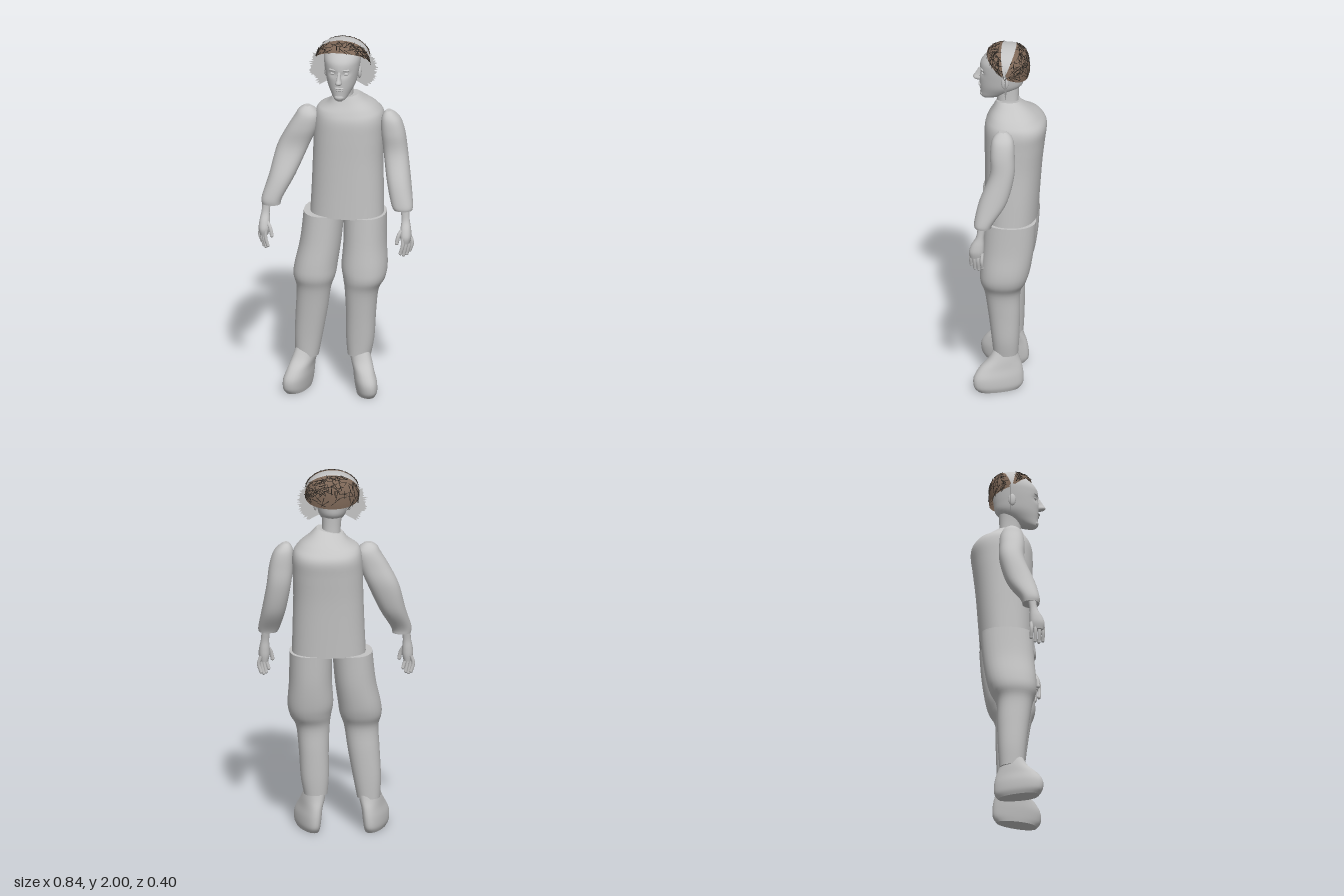
import * as THREE from 'three';
import { mergeGeometries } from 'three/addons/utils/BufferGeometryUtils.js';

const grey = new THREE.MeshStandardMaterial({ color: 0xc4c4c4, side: THREE.DoubleSide });
grey.name = 'plain grey';
const brown = new THREE.MeshStandardMaterial({ color: 0x7d6757, side: THREE.DoubleSide });
brown.name = 'hair brown';
const dark = new THREE.MeshStandardMaterial({ color: 0x2f2a25 });
dark.name = 'strand dark';

const pow = (v, p) => Math.sign(v) * Math.abs(v) ** p;

// Smooth skin over level rings [centreX, y, centreZ, radiusX, radiusZ], listed bottom to top
function loft(rings, { p = 0.9, sides = 28, steps = 5, rule } = {}) {
  const rows = [];
  for (let i = 0; i < rings.length - 1; i++) {
    const a = rings[Math.max(i - 1, 0)], b = rings[i], c = rings[i + 1], d = rings[Math.min(i + 2, rings.length - 1)];
    for (let s = 0; s < steps; s++) {
      const t = s / steps;
      rows.push(b.map((v, k) => v + 0.5 * t * (c[k] - a[k] + t * (2 * a[k] - 5 * v + 4 * c[k] - d[k] + t * (3 * (v - c[k]) + d[k] - a[k])))));
    }
  }
  rows.push(rings[rings.length - 1]);
  const pos = [], index = [];
  const ring = ([cx, y, cz, rx, rz]) => {
    for (let j = 0; j < sides; j++) {
      const t = (j / sides) * Math.PI * 2;
      const v = new THREE.Vector3(cx + rx * pow(Math.cos(t), p), y, cz + rz * pow(Math.sin(t), p));
      if (rule) rule(v);
      pos.push(v.x, v.y, v.z);
    }
  };
  rows.forEach(ring);
  for (let i = 0; i < rows.length - 1; i++) for (let j = 0; j < sides; j++) {
    const a = i * sides + j, b = i * sides + (j + 1) % sides;
    index.push(a, a + sides, b, b, a + sides, b + sides);
  }
  // Flat end caps with their own corners
  [rows[0], rows[rows.length - 1]].forEach((row, end) => {
    const start = pos.length / 3;
    ring(row);
    const mid = new THREE.Vector3(row[0], row[1], row[2]);
    if (rule) rule(mid);
    pos.push(mid.x, mid.y, mid.z);
    for (let j = 0; j < sides; j++) {
      const a = start + j, b = start + (j + 1) % sides;
      index.push(start + sides, end ? b : a, end ? a : b);
    }
  });
  const g = new THREE.BufferGeometry();
  g.setAttribute('position', new THREE.Float32BufferAttribute(pos, 3));
  g.setIndex(index);
  g.computeVertexNormals();
  return g;
}

// Hair dome: a runs from front (0) over the top to the back (PI), b from side to side
function dome(a, b, grow = 1) {
  const c = pow(Math.cos(b), 0.8);
  return new THREE.Vector3(0.022 + 0.145 * grow * Math.sin(b),
    1.87 + 0.128 * grow * pow(Math.sin(a), 0.75) * c, 0.02 + 0.122 * grow * pow(Math.cos(a), 0.75) * c);
}

function domeSlice(a0, a1) {
  const g = new THREE.PlaneGeometry(1, 1, 28, 14), p = g.attributes.position;
  for (let i = 0; i < p.count; i++) {
    const v = dome(a0 + (0.5 - p.getY(i)) * (a1 - a0), p.getX(i) * 3.0);
    p.setXYZ(i, v.x, v.y, v.z);
  }
  // Turn the faces outward
  const ix = g.index.array;
  for (let i = 0; i < ix.length; i += 3) [ix[i], ix[i + 1]] = [ix[i + 1], ix[i]];
  g.computeVertexNormals();
  const n = g.attributes.normal, k = Math.floor(p.count / 2);
  if (n.getX(k) * (p.getX(k) - 0.022) + n.getY(k) * (p.getY(k) - 1.87) + n.getZ(k) * (p.getZ(k) - 0.02) < 0) {
    for (let i = 0; i < ix.length; i += 3) [ix[i], ix[i + 1]] = [ix[i + 1], ix[i]];
    g.computeVertexNormals();
  }
  return g;
}

export function createModel() {
  const model = new THREE.Group();
  let seed = 7;
  const rnd = () => (seed = (seed * 16807) % 2147483647) / 2147483647;
  const add = (name, geometry, material = grey, parent = model) => {
    const m = new THREE.Mesh(geometry, material);
    m.name = name;
    parent.add(m);
    return m;
  };
  const blob = (name, x, y, z, rx, ry, rz, parent) => {
    const m = add(name, new THREE.SphereGeometry(1, 16, 12), grey, parent);
    m.position.set(x, y, z);
    m.scale.set(rx, ry, rz);
    return m;
  };

  // Loose top, with the collar rising toward the left shoulder
  add('torso', loft([
    [0.04, 1.005, -0.01, 0.197, 0.14], [0.042, 1.15, -0.015, 0.192, 0.145], [0.043, 1.32, -0.021, 0.187, 0.152],
    [0.047, 1.46, -0.028, 0.187, 0.161], [0.05, 1.55, -0.033, 0.185, 0.164], [0.047, 1.6, -0.025, 0.165, 0.14],
    [0.04, 1.645, -0.01, 0.105, 0.1], [0.035, 1.68, 0.008, 0.072, 0.065],
  ], { p: 0.85, sides: 40, rule: (v) => { if (v.y > 1.6) v.y += (v.x - 0.035) * (v.y - 1.6) * 2.5; } }));
  add('neck', loft([[0.03, 1.6, 0.01, 0.052, 0.058], [0.026, 1.7, 0.012, 0.05, 0.058], [0.022, 1.78, 0.015, 0.055, 0.065]]));

  // Trouser legs
  add('rightTrouserLeg', loft([
    [-0.172, 0.185, 0.015, 0.062, 0.066], [-0.163, 0.3, 0.016, 0.075, 0.074], [-0.146, 0.45, 0.022, 0.085, 0.085],
    [-0.133, 0.58, 0.03, 0.092, 0.096], [-0.13, 0.65, 0.025, 0.112, 0.122], [-0.122, 0.72, 0.015, 0.114, 0.133],
    [-0.1, 0.85, 0, 0.109, 0.138], [-0.085, 1.01, -0.01, 0.107, 0.14],
  ]));
  add('leftTrouserLeg', loft([
    [0.11, 0.205, 0.015, 0.063, 0.066], [0.115, 0.3, 0.016, 0.075, 0.074], [0.12, 0.45, 0.022, 0.08, 0.085],
    [0.125, 0.58, 0.03, 0.09, 0.096], [0.138, 0.65, 0.025, 0.112, 0.122], [0.138, 0.72, 0.015, 0.122, 0.133],
    [0.138, 0.85, 0, 0.114, 0.138], [0.137, 1.01, -0.01, 0.114, 0.14],
  ]));

  // Feet, toes turned outward and heels narrower
  for (const [name, x, side] of [['rightFoot', -0.185, -1], ['leftFoot', 0.125, 1]]) {
    add(name, loft([
      [0.02, 0, 0.05, 0.048, 0.108], [0.022, 0.03, 0.05, 0.056, 0.128], [0.018, 0.08, 0.05, 0.059, 0.13],
      [0.01, 0.13, 0.04, 0.056, 0.112], [0, 0.18, 0.024, 0.058, 0.08], [-0.01, 0.24, 0.015, 0.054, 0.058],
    ], { rule: (v) => {
      const toe = v.z - 0.04;
      v.x = x + side * (v.x * (1 + toe * 1.2) + toe * 0.25);
    } }));
  }

  // Sleeves
  add('rightSleeve', loft([
    [-0.35, 1.07, 0.112, 0.05, 0.045], [-0.345, 1.11, 0.106, 0.056, 0.053], [-0.3, 1.22, 0.06, 0.07, 0.075],
    [-0.25, 1.37, 0.015, 0.084, 0.068], [-0.2, 1.48, 0.015, 0.08, 0.068], [-0.173, 1.55, 0.015, 0.065, 0.062],
    [-0.172, 1.585, 0.015, 0.046, 0.045], [-0.172, 1.605, 0.015, 0.018, 0.02],
  ]));
  add('leftSleeve', loft([
    [0.362, 1.08, 0.112, 0.05, 0.045], [0.356, 1.11, 0.106, 0.058, 0.053], [0.332, 1.22, 0.06, 0.064, 0.075],
    [0.307, 1.37, 0.015, 0.065, 0.066], [0.294, 1.48, 0.015, 0.064, 0.066], [0.283, 1.55, 0.015, 0.054, 0.06],
    [0.274, 1.585, 0.015, 0.036, 0.044], [0.268, 1.605, 0.015, 0.015, 0.02],
  ]));

  // Hands: wrist and palm, four hanging fingers and a thumb turned inward
  for (const side of [-1, 1]) {
    const hand = new THREE.Group();
    hand.name = side < 0 ? 'rightHand' : 'leftHand';
    hand.position.set(side < 0 ? -0.378 : 0.378, 0, 0);
    model.add(hand);
    add('palm', loft([
      [0.004 * side, 0.905, 0.145, 0.022, 0.034], [0.004 * side, 0.94, 0.145, 0.03, 0.04],
      [0.003 * side, 0.98, 0.138, 0.028, 0.034], [0, 1.03, 0.125, 0.022, 0.021], [-0.006 * side, 1.1, 0.115, 0.024, 0.024],
    ], { sides: 18 }), grey, hand);
    const digit = (name, points, r) => add(name, new THREE.TubeGeometry(
      new THREE.CatmullRomCurve3(points.map(([x, y, z]) => new THREE.Vector3(x * side, y, z))), 8, r, 8), grey, hand);
    for (let i = 0; i < 4; i++) {
      const x = 0.03 - i * 0.014, z = 0.112 + i * 0.021, tip = 0.852 - (i === 1 || i === 2 ? 0.014 : 0);
      digit('finger', [[x * 0.7, 0.94, z], [x + 0.004, 0.895, z + 0.002], [x - 0.008, tip, z]], 0.0095);
      blob('fingertip', (x - 0.008) * side, tip, z, 0.0095, 0.011, 0.0095, hand);
    }
    digit('thumb', [[-0.008, 0.985, 0.15], [-0.03, 0.95, 0.165], [-0.04, 0.91, 0.17]], 0.0105);
    blob('thumbTip', -0.04 * side, 0.908, 0.17, 0.0105, 0.012, 0.0105, hand);
  }

  // Head and face
  const face = new THREE.Group();
  face.name = 'head';
  model.add(face);
  add('skull', loft([
    [0.022, 1.688, 0.125, 0.018, 0.022], [0.022, 1.7, 0.105, 0.036, 0.053], [0.022, 1.73, 0.075, 0.056, 0.085],
    [0.022, 1.77, 0.05, 0.076, 0.113], [0.022, 1.82, 0.044, 0.087, 0.12], [0.022, 1.87, 0.041, 0.095, 0.121],
    [0.022, 1.91, 0.036, 0.098, 0.118], [0.022, 1.95, 0.022, 0.09, 0.098], [0.022, 1.98, 0.018, 0.058, 0.062],
    [0.022, 1.988, 0.018, 0.015, 0.015],
  ], { sides: 36, p: 1, rule: (v) => {
    // Eye sockets pressed into the front
    if (v.z > 0.1) {
      const dx = (Math.abs(v.x - 0.022) - 0.034) / 0.02, dy = (v.y - 1.845) / 0.016;
      v.z -= 0.012 * Math.exp(-dx * dx - dy * dy);
    }
  } }));
  add('nose', loft([
    [0.024, 1.79, 0.165, 0.01, 0.012], [0.024, 1.803, 0.174, 0.018, 0.026], [0.024, 1.825, 0.167, 0.012, 0.022],
    [0.024, 1.86, 0.156, 0.008, 0.012],
  ], { sides: 14 }), grey, face);
  blob('upperLip', 0.024, 1.768, 0.158, 0.026, 0.006, 0.013, face);
  blob('lowerLip', 0.024, 1.754, 0.152, 0.022, 0.006, 0.014, face);
  blob('chin', 0.022, 1.712, 0.145, 0.026, 0.018, 0.018, face);
  for (const side of [-1, 1]) {
    const x = (d) => 0.022 + side * d;
    blob('eye', x(0.035), 1.845, 0.142, 0.015, 0.008, 0.009, face);
    blob('brow', x(0.035), 1.868, 0.148, 0.024, 0.006, 0.009, face).rotation.y = side * 0.35;
    blob('ear', x(0.09), 1.815, 0.02, 0.011, 0.034, 0.02, face);
  }

  // Ragged thin side hair standing out around the head
  const frizz = new THREE.Shape();
  const count = 110;
  for (let i = 0; i <= count; i++) {
    const t = -0.25 * Math.PI + (i / count) * 1.5 * Math.PI;
    const r = 0.94 + 0.1 * rnd() - (i % 2) * 0.06;
    const x = 0.022 + 0.185 * r * Math.cos(t), y = 1.832 + 0.15 * r * Math.sin(t);
    if (i) frizz.lineTo(x, y); else frizz.moveTo(x, y);
  }
  frizz.lineTo(0.022, 1.8);
  const frizzMesh = add('sideHair', new THREE.ShapeGeometry(frizz));
  frizzMesh.position.z = 0.012;

  // Hair cap: brown front and back with a pale parting between
  add('frontHair', domeSlice(0.62, 1.45), brown);
  add('parting', domeSlice(1.45, 1.9));
  add('backHair', domeSlice(1.9, 3.4), brown);

  // Dark strands lying across the brown hair
  const strands = [];
  for (let i = 0; i < 230; i++) {
    const front = i % 5 < 2;
    const a = front ? 0.66 + rnd() * 0.72 : 1.95 + rnd() * 1.35, b = (rnd() - 0.5) * 2.7;
    const turn = rnd() * Math.PI, len = 0.15 + rnd() * 0.17;
    const from = dome(a, b, 1.006);
    const to = dome(front ? THREE.MathUtils.clamp(a + len * Math.cos(turn), 0.6, 1.45) : Math.max(a + len * Math.cos(turn), 1.9),
      b + len * Math.sin(turn), 1.006 + rnd() * 0.02);
    const dir = to.clone().sub(from);
    const g = new THREE.CylinderGeometry(0.0012, 0.002, dir.length() + 0.01, 4);
    g.applyQuaternion(new THREE.Quaternion().setFromUnitVectors(new THREE.Vector3(0, 1, 0), dir.normalize()));
    const mid = from.add(to).multiplyScalar(0.5);
    g.translate(mid.x, Math.min(mid.y, 1.997), mid.z);
    strands.push(g);
  }
  add('hairStrands', mergeGeometries(strands), dark);
  return model;
}
